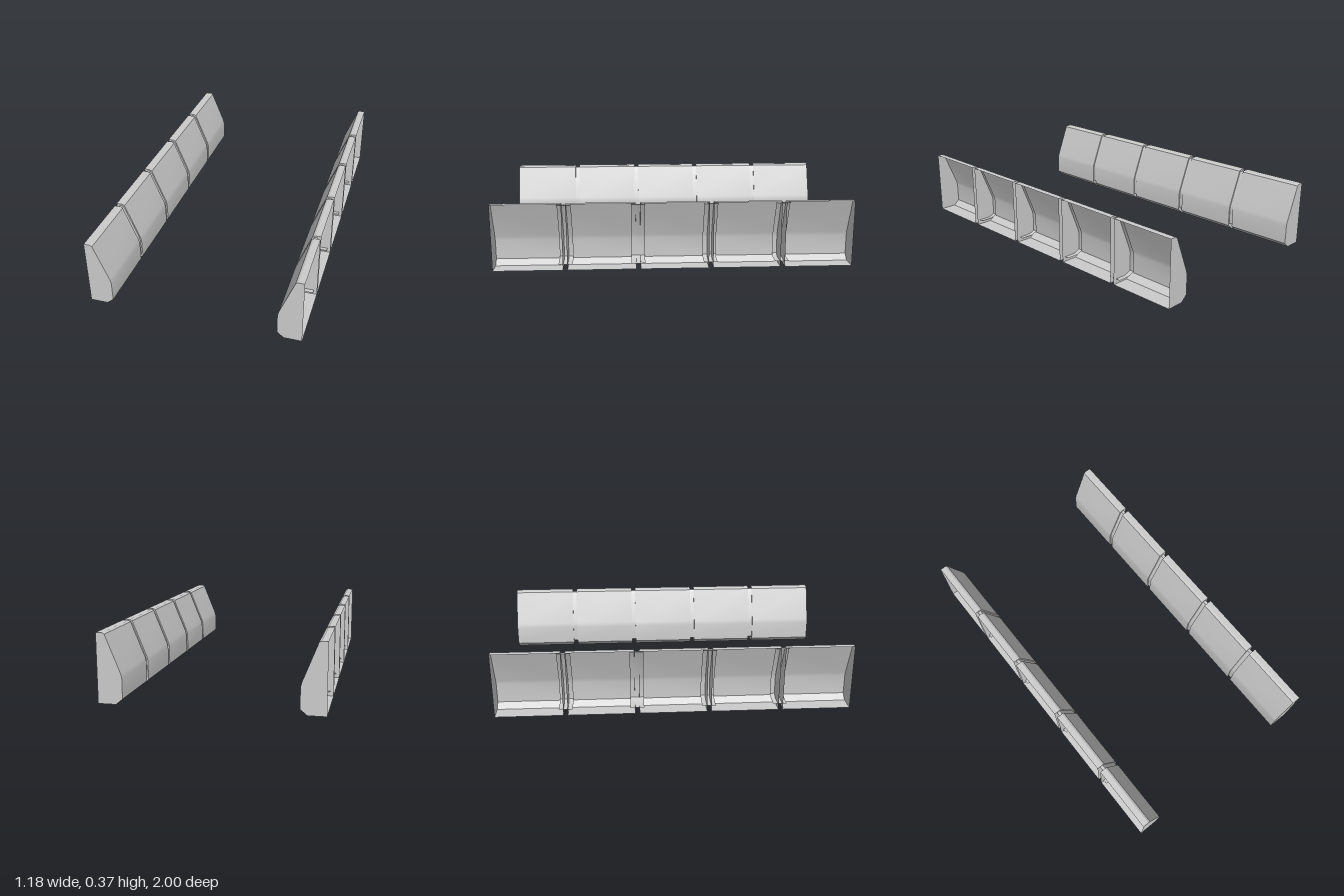
import * as THREE from 'three';
import { toCreasedNormals } from 'three/addons/utils/BufferGeometryUtils.js';

// Cross-sections as [distance from the centre line, height], open on the outer side
const SKIN = [[0.59, 0], [0.493, 0], [0.457, 0.03], [0.457, 0.14], [0.463, 0.165],
  [0.538, 0.352], [0.543, 0.366], [0.555, 0.373], [0.59, 0.373]];
const RIB = [[0.572, 0.027], [0.498, 0.027], [0.465, 0.042], [0.465, 0.142], [0.471, 0.167],
  [0.543, 0.346], [0.553, 0.363], [0.572, 0.363]];
const GAPS = [-0.608, -0.207, 0.198, 0.603];
const HALF_GAP = 0.0125;
const HALF_RIB = 0.0385;

const material = new THREE.MeshStandardMaterial({ color: 0xcccccc, side: THREE.DoubleSide });

function addMesh(parent, name, geometry) {
  const mesh = new THREE.Mesh(geometry, material);
  mesh.name = name;
  parent.add(mesh);
}

// Thin sheet following a profile from z0 to z1
function sheet(profile, side, z0, z1) {
  const positions = [];
  for (let i = 0; i < profile.length - 1; i++) {
    const [a, b] = side > 0 ? [profile[i], profile[i + 1]] : [profile[i + 1], profile[i]];
    const p = (q, z) => [q[0] * side, q[1], z];
    positions.push(...p(a, z0), ...p(b, z0), ...p(b, z1), ...p(a, z0), ...p(b, z1), ...p(a, z1));
  }
  const geometry = new THREE.BufferGeometry();
  geometry.setAttribute('position', new THREE.Float32BufferAttribute(positions, 3));
  return toCreasedNormals(geometry, 0.5);
}

// Flat wall closing a profile at z
function wall(profile, side, z) {
  const shape = new THREE.Shape(profile.map(([x, y]) => new THREE.Vector2(x * side, y)));
  return new THREE.ShapeGeometry(shape).translate(0, 0, z);
}

function sideSkirt(side) {
  const skirt = new THREE.Group();
  skirt.name = side > 0 ? 'leftSkirt' : 'rightSkirt';

  // Hollow panels, each closed at both ends
  for (let i = 0; i <= GAPS.length; i++) {
    const z0 = i === 0 ? -1 : GAPS[i - 1] + HALF_GAP;
    const z1 = i === GAPS.length ? 1 : GAPS[i] - HALF_GAP;
    const panel = new THREE.Group();
    panel.name = 'panel' + (i + 1);
    addMesh(panel, 'panelSkin', sheet(SKIN, side, z0, z1));
    addMesh(panel, 'panelBackWall', wall(SKIN, side, z0));
    addMesh(panel, 'panelFrontWall', wall(SKIN, side, z1));
    skirt.add(panel);
  }

  // Recessed ribs bridging the grooves between panels
  GAPS.forEach((z, i) => {
    addMesh(skirt, 'joiningRib' + (i + 1), sheet(RIB, side, z - HALF_RIB, z + HALF_RIB));
  });
  return skirt;
}

export function createModel() {
  const model = new THREE.Group();
  model.name = 'sideSkirts';
  for (const side of [1, -1]) model.add(sideSkirt(side));
  return model;
}
